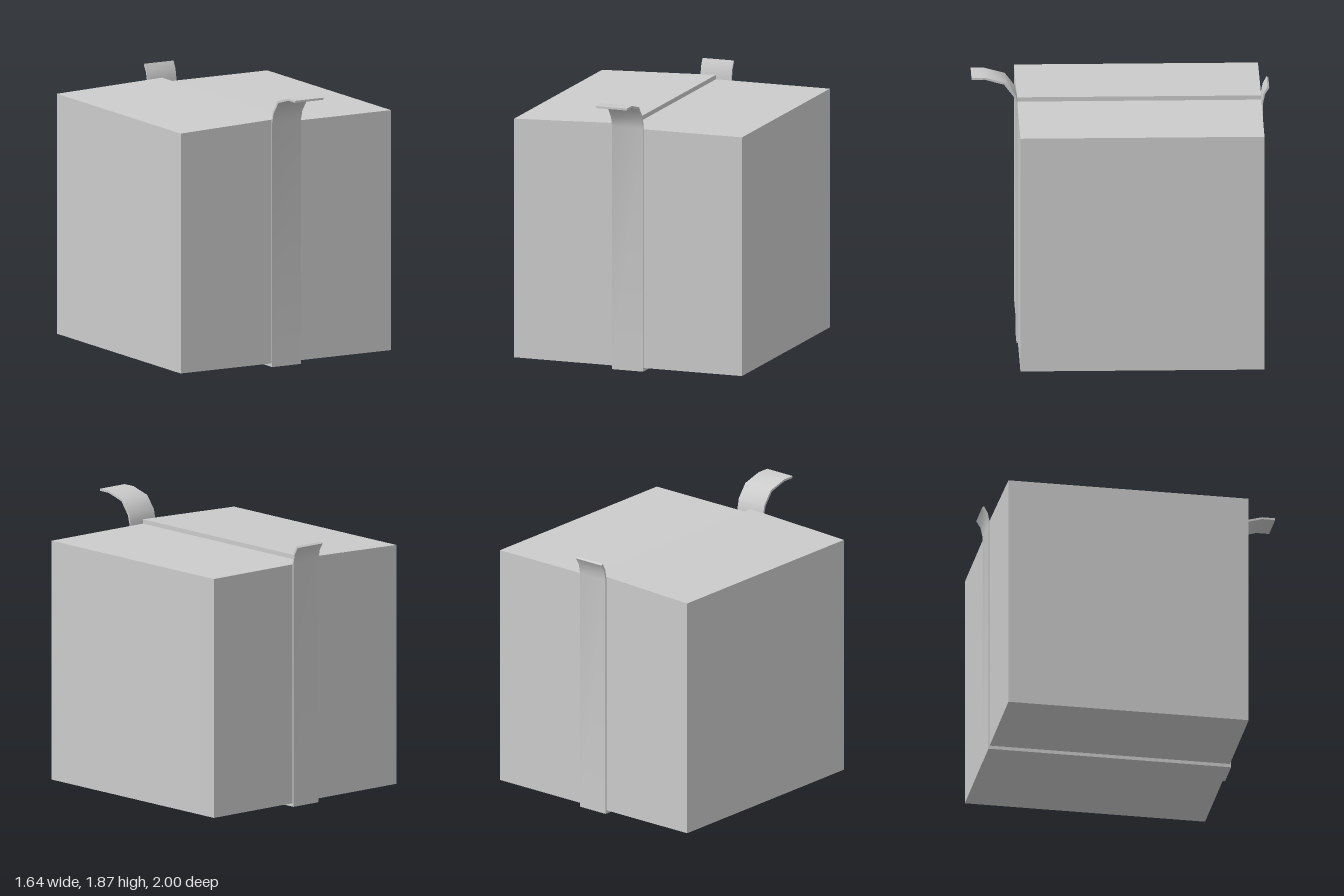
import * as THREE from 'three';
import { toCreasedNormals } from 'three/addons/utils/BufferGeometryUtils.js';

const material = new THREE.MeshStandardMaterial({ color: 0xcccccc });

// Extrudes an outline by depth, centred on its own extrusion axis
function extruded(name, points, depth) {
  const shape = new THREE.Shape(points.map(([x, y]) => new THREE.Vector2(x, y)));
  const geometry = new THREE.ExtrudeGeometry(shape, { depth, bevelEnabled: false });
  geometry.translate(0, 0, -depth / 2);
  const mesh = new THREE.Mesh(toCreasedNormals(geometry, 0.8), material);
  mesh.name = name;
  return mesh;
}

export function createModel() {
  const group = new THREE.Group();
  group.name = 'tapedBox';

  // Carton: the right lid flap rises slightly towards the middle seam
  const carton = extruded('carton', [
    [-0.82, 0.024], [0.82, 0.024], [0.82, 1.665],
    [0, 1.665], [0, 1.695], [-0.82, 1.665],
  ], 1.64);
  carton.position.z = -0.129;
  group.add(carton);

  // Tape strip: up the front, under the bottom, up the back, ends curling outwards (z, y)
  const outer = [
    [1, 1.857], [0.912, 1.857], [0.782, 1.82], [0.717, 1.735], [0.699, 1.67],
    [0.699, 0], [-0.957, 0],
    [-0.957, 1.67], [-0.971, 1.737], [-1, 1.785],
  ];
  const inner = [
    [-0.988, 1.795], [-0.961, 1.745], [-0.948, 1.68],
    [-0.948, 0.024], [0.69, 0.024],
    [0.69, 1.68], [0.704, 1.745], [0.772, 1.833], [0.91, 1.871], [1, 1.871],
  ];
  const tape = extruded('tapeStrip', [...outer, ...inner], 0.224);
  tape.rotation.y = -Math.PI / 2;
  group.add(tape);

  return group;
}
